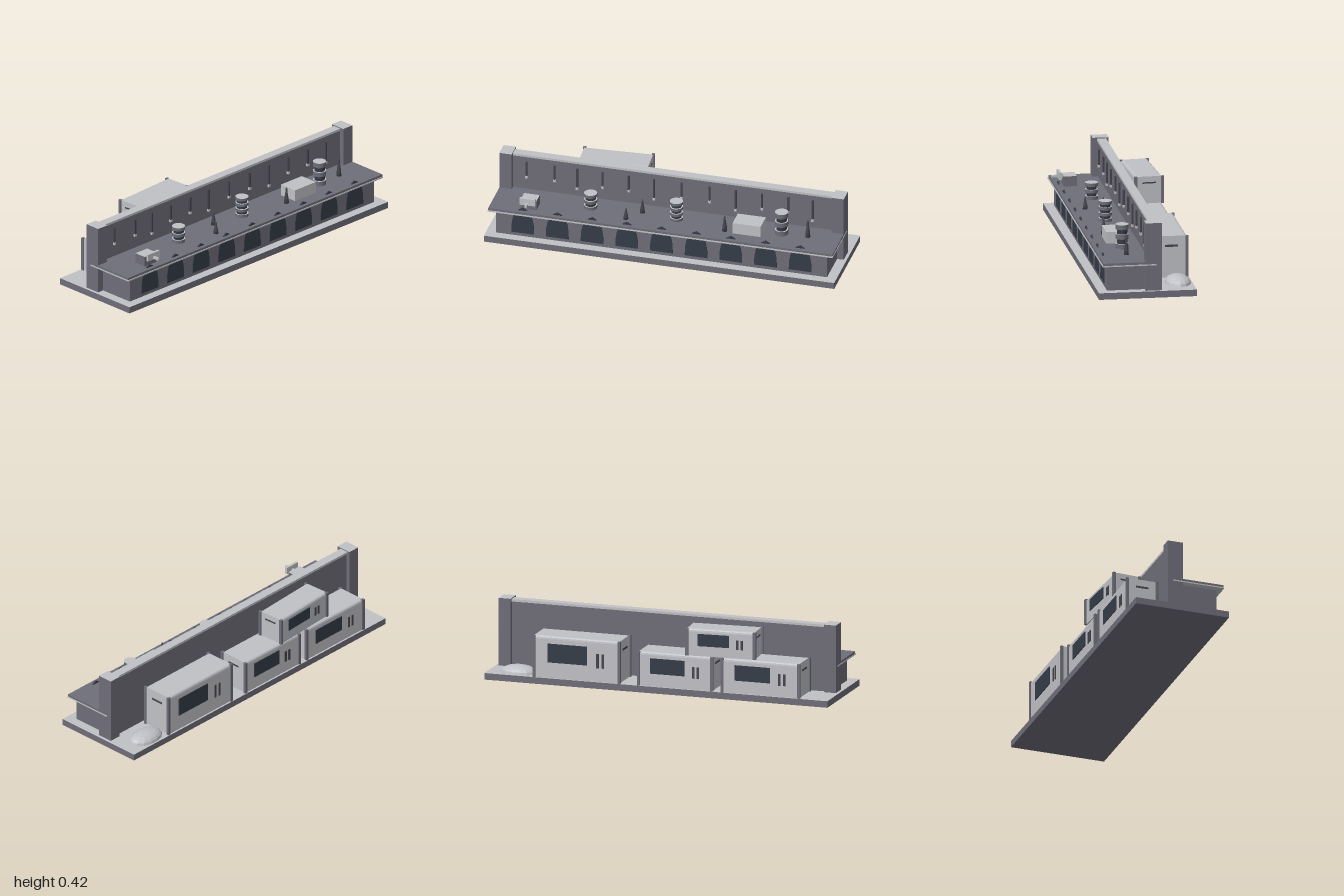
import * as THREE from 'three';

const mat = (name, color) => {
  const m = new THREE.MeshStandardMaterial({ color });
  m.name = name;
  return m;
};

export function createModel() {
  const stone = mat('slate grey', 0x6f6e79);
  const light = mat('pale grey', 0xc0c1c6);
  const navy = mat('dark navy', 0x343c48);
  const iron = mat('iron grey', 0x46454e);
  const capped = [stone, stone, light, stone, stone, stone];

  const root = new THREE.Group();
  root.name = 'marketCounter';

  const add = (parent, name, geo, material) => {
    const m = new THREE.Mesh(geo, material);
    m.name = name;
    parent.add(m);
    return m;
  };
  // Box given by its limits on each axis
  const box = (parent, name, x0, x1, y0, y1, z0, z1, material) => {
    const m = add(parent, name, new THREE.BoxGeometry(x1 - x0, y1 - y0, z1 - z0), material);
    m.position.set((x0 + x1) / 2, (y0 + y1) / 2, (z0 + z1) / 2);
    return m;
  };

  // Base, counter and rear wall
  box(root, 'base', -1, 1, 0, 0.037, -0.273, 0.273, capped);
  box(root, 'counterBody', -0.945, 0.945, 0.037, 0.187, -0.02, 0.22, stone);
  box(root, 'counterTrim', -0.985, 0.985, 0.18, 0.187, -0.05, 0.25, light);
  box(root, 'counterTop', -0.983, 0.983, 0.187, 0.2, -0.02, 0.246, stone);
  box(root, 'wall', -0.93, 0.93, 0.037, 0.402, -0.06, -0.018, stone);
  box(root, 'wallCap', -0.93, 0.93, 0.402, 0.415, -0.065, -0.014, light);
  for (const s of [-1, 1]) {
    box(root, 'pillar', s * 0.948 - 0.035, s * 0.948 + 0.035, 0.037, 0.42, -0.08, 0.01, capped);
  }

  // Row of pointed arches whose tips rise through the counter edge
  const half = [[0.065, 0.057], [0.063, 0.11], [0.056, 0.15], [0.043, 0.18], [0.026, 0.2], [0, 0.215]];
  const archShape = new THREE.Shape([
    ...half.map(([x, y]) => new THREE.Vector2(x, y)),
    ...half.slice(0, -1).reverse().map(([x, y]) => new THREE.Vector2(-x, y)),
  ]);
  const archGeo = new THREE.ExtrudeGeometry(archShape, { depth: 0.009, bevelEnabled: false });
  for (let i = -4; i <= 4; i++) {
    add(root, 'arch', archGeo, navy).position.set(i * 0.198, 0, 0.215);
  }

  // Hanging rods with pale tips
  const rods = [-0.835, -0.675, -0.545, -0.4, -0.25, -0.107, 0.05, 0.21, 0.36, 0.51, 0.66, 0.8];
  rods.forEach((x, i) => {
    const bottom = 0.285 - (i % 3 === 2 ? 0.03 : 0);
    box(root, 'hangingRod', x - 0.005, x + 0.005, bottom, 0.372, -0.018, -0.008, iron);
    box(root, 'rodTip', x - 0.007, x + 0.007, bottom - 0.014, bottom, -0.018, -0.006, light);
  });

  // Stacked canisters: wide rings around a narrow core
  for (const [x, top, rings] of [[-0.44, 0.293, 3], [0.05, 0.315, 4], [0.65, 0.336, 3]]) {
    const g = new THREE.Group();
    g.name = 'canister';
    g.position.set(x, 0.2, 0.09);
    root.add(g);
    const h = top - 0.2;
    const ringH = h / (rings * 2 - 1);
    add(g, 'core', new THREE.CylinderGeometry(0.029, 0.029, h - 0.002, 14), navy).position.y = h / 2;
    for (let i = 0; i < rings; i++) {
      add(g, 'ring', new THREE.CylinderGeometry(0.037, 0.037, ringH, 14), [stone, light, stone])
        .position.y = ringH * (2 * i + 0.5);
    }
  }

  // Slim bottles
  for (const [x, z, h] of [[-0.22, 0.16, 0.066], [-0.15, 0.07, 0.08], [0.34, 0.145, 0.093], [0.8, 0.09, 0.106]]) {
    const profile = [[0, 0], [0.014, 0], [0.012, 0.3], [0.006, 0.72], [0.006, 0.85], [0.003, 1], [0, 1]]
      .map(([r, t]) => new THREE.Vector2(r, t * h));
    add(root, 'bottle', new THREE.LatheGeometry(profile, 10), iron).position.set(x, 0.2, z);
  }

  // Crate and dispenser
  box(root, 'crate', 0.39, 0.55, 0.2, 0.265, 0.052, 0.162, light);
  box(root, 'dispenserBody', -0.81, -0.72, 0.2, 0.257, 0.128, 0.2, capped);
  box(root, 'dispenserPlate', -0.81, -0.72, 0.238, 0.278, 0.212, 0.227, light);
  box(root, 'dispenserSpout', -0.771, -0.759, 0.243, 0.256, 0.19, 0.265, light);

  // Container cabins: rounded shell, corner posts, window and vents
  const cabin = (x, y, z, L, H, W, turn = 0) => {
    const g = new THREE.Group();
    g.name = 'cabin';
    g.position.set(x, y, z);
    g.rotation.y = turn;
    root.add(g);
    const w = W / 2 - 0.005;
    const r = 0.016;
    const s = new THREE.Shape();
    s.moveTo(-w, 0);
    s.lineTo(w, 0);
    s.lineTo(w, H - r);
    s.quadraticCurveTo(w, H, w - r, H);
    s.lineTo(-w + r, H);
    s.quadraticCurveTo(-w, H, -w, H - r);
    const geo = new THREE.ExtrudeGeometry(s, { depth: L - 0.012, bevelEnabled: false, curveSegments: 3 });
    geo.translate(0, 0, -(L - 0.012) / 2);
    geo.rotateY(Math.PI / 2);
    add(g, 'shell', geo, light);
    for (const sx of [-1, 1]) {
      for (const sz of [-1, 1]) {
        const px = sx * (L / 2 - 0.007);
        const pz = sz * (W / 2 - 0.006);
        box(g, 'cornerPost', px - 0.008, px + 0.008, 0, H, pz - 0.008, pz + 0.008, stone);
      }
      const ex = sx * (L / 2 - 0.006);
      box(g, 'endVent', ex - 0.003, ex + 0.003, H * 0.74, H * 0.79, -0.037, 0.037, iron);
    }
    for (const [name, u, width, v, height] of [
      ['window', 0.105, 0.45 * L, 0.6, 0.45 * H],
      ['sideVent', -0.24, 0.014, 0.5, 0.34 * H],
      ['sideVent', -0.3, 0.014, 0.5, 0.34 * H],
    ]) {
      box(g, name, u * L - width / 2, u * L + width / 2, v * H - height / 2, v * H + height / 2,
        -w - 0.004, -w + 0.004, name === 'window' ? navy : iron);
    }
  };
  cabin(0.465, 0.037, -0.175, 0.51, 0.236, 0.186);
  cabin(-0.11, 0.037, -0.175, 0.44, 0.193, 0.186);
  cabin(-0.607, 0.037, -0.175, 0.46, 0.193, 0.186);
  cabin(-0.367, 0.23, -0.178, 0.4, 0.153, 0.162, 0.06);

  // Low faceted mound beside the cabins
  const dome = new THREE.SphereGeometry(1, 14, 5, 0, Math.PI * 2, 0, Math.PI / 2).toNonIndexed();
  dome.scale(0.11, 0.045, 0.072);
  dome.computeVertexNormals();
  add(root, 'mound', dome, light).position.set(0.825, 0.037, -0.193);

  return root;
}
